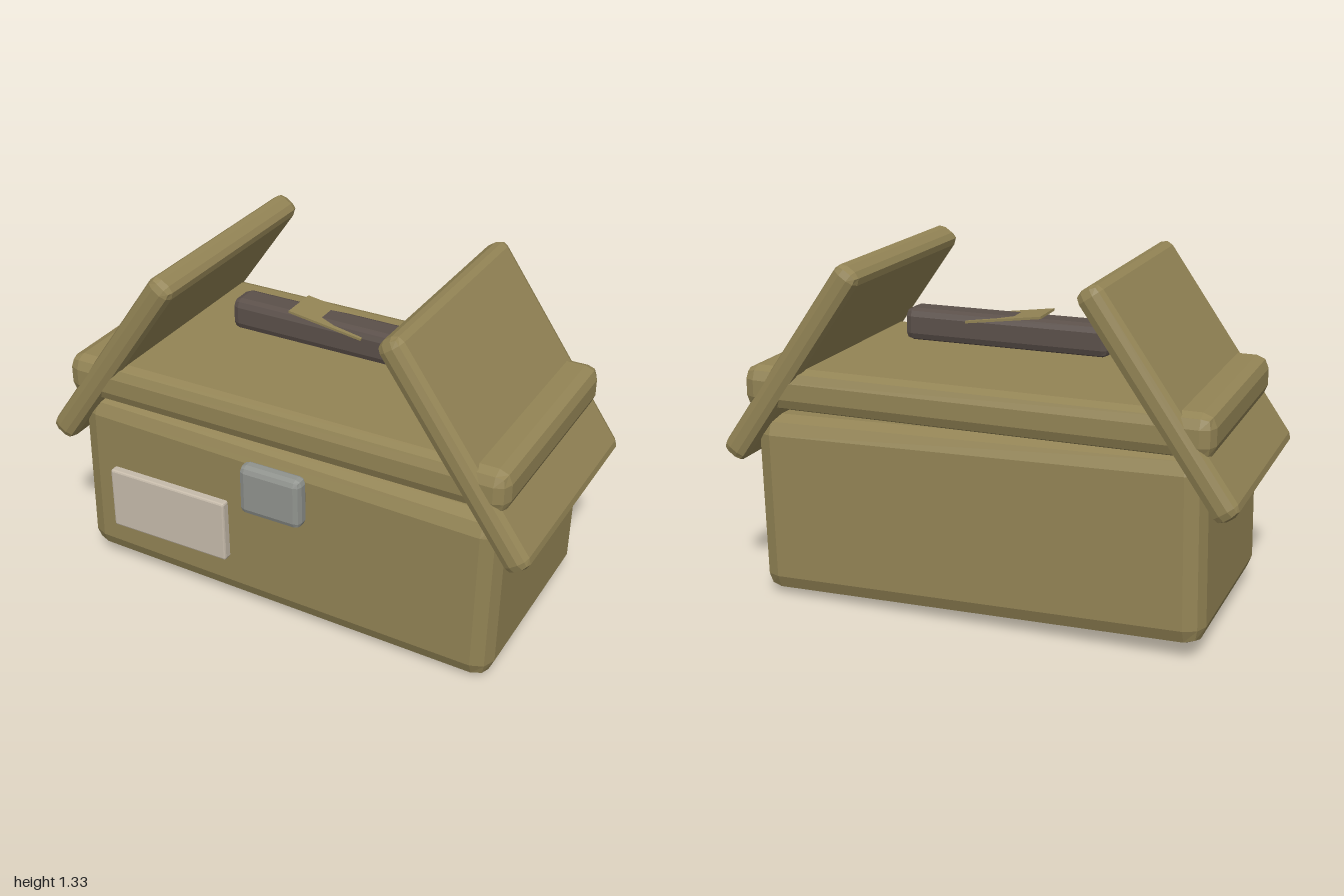
import * as THREE from 'three';

// Flat-shaded materials, one per colour
const mat = (name, color) => {
  const m = new THREE.MeshStandardMaterial({ color, flatShading: true });
  m.name = name;
  return m;
};

// Box whose edges are rounded with two facets of radius r
function bevelBox(w, h, d, r) {
  const g = new THREE.BoxGeometry(1, 1, 1, 3, 3, 3);
  const p = g.attributes.position;
  const half = new THREE.Vector3(w / 2 - r, h / 2 - r, d / 2 - r);
  const v = new THREE.Vector3(), dir = new THREE.Vector3();
  const outer = (c) => (Math.abs(c) > 0.4 ? Math.sign(c) : 0);
  for (let i = 0; i < p.count; i++) {
    v.fromBufferAttribute(p, i);
    dir.set(outer(v.x), outer(v.y), outer(v.z)).normalize().multiplyScalar(r);
    p.setXYZ(i,
      Math.sign(v.x) * half.x + dir.x,
      Math.sign(v.y) * half.y + dir.y,
      Math.sign(v.z) * half.z + dir.z);
  }
  g.computeVertexNormals();
  return g;
}

export function createModel() {
  const model = new THREE.Group();
  model.name = 'toolbox';

  const olive = mat('olive', 0x938455);
  const darkBrown = mat('dark brown', 0x5b504a);
  const steel = mat('steel grey', 0x90938e);
  const cream = mat('label cream', 0xc6bbab);

  const add = (name, geometry, material, pos, rot = [0, 0, 0]) => {
    const mesh = new THREE.Mesh(geometry, material);
    mesh.name = name;
    mesh.position.set(...pos);
    mesh.rotation.set(...rot);
    model.add(mesh);
    return mesh;
  };

  // Slightly crooked box body
  add('body', bevelBox(1.755, 0.71, 0.875, 0.07), olive, [-0.003, 0.38, -0.013], [0.014, 0, -0.025]);

  // Lid slab
  add('lid', bevelBox(1.81, 0.165, 0.918, 0.05), olive, [0, 0.8375, -0.012]);

  // Tilted flaps crossing both ends of the lid
  for (const s of [-1, 1]) {
    add(s > 0 ? 'leftFlap' : 'rightFlap', bevelBox(0.105, 0.925, 0.937, 0.035), olive,
      [s * 0.705, 0.9375, -0.012], [0, 0, s * 0.61]);
  }

  // Carrying handle with a thin tilted plate through its top
  add('handle', bevelBox(0.82, 0.125, 0.13, 0.03), darkBrown, [0, 1.0375, -0.02]);
  add('handlePlate', new THREE.BoxGeometry(0.305, 0.009, 0.15), olive, [0, 1.091, -0.02], [0, 0, -0.14]);

  // Front latch and label
  add('latch', bevelBox(0.257, 0.205, 0.075, 0.025), steel, [-0.002, 0.5725, 0.443]);
  add('label', bevelBox(0.517, 0.257, 0.045, 0.008), cream, [-0.472, 0.337, 0.436]);

  return model;
}
